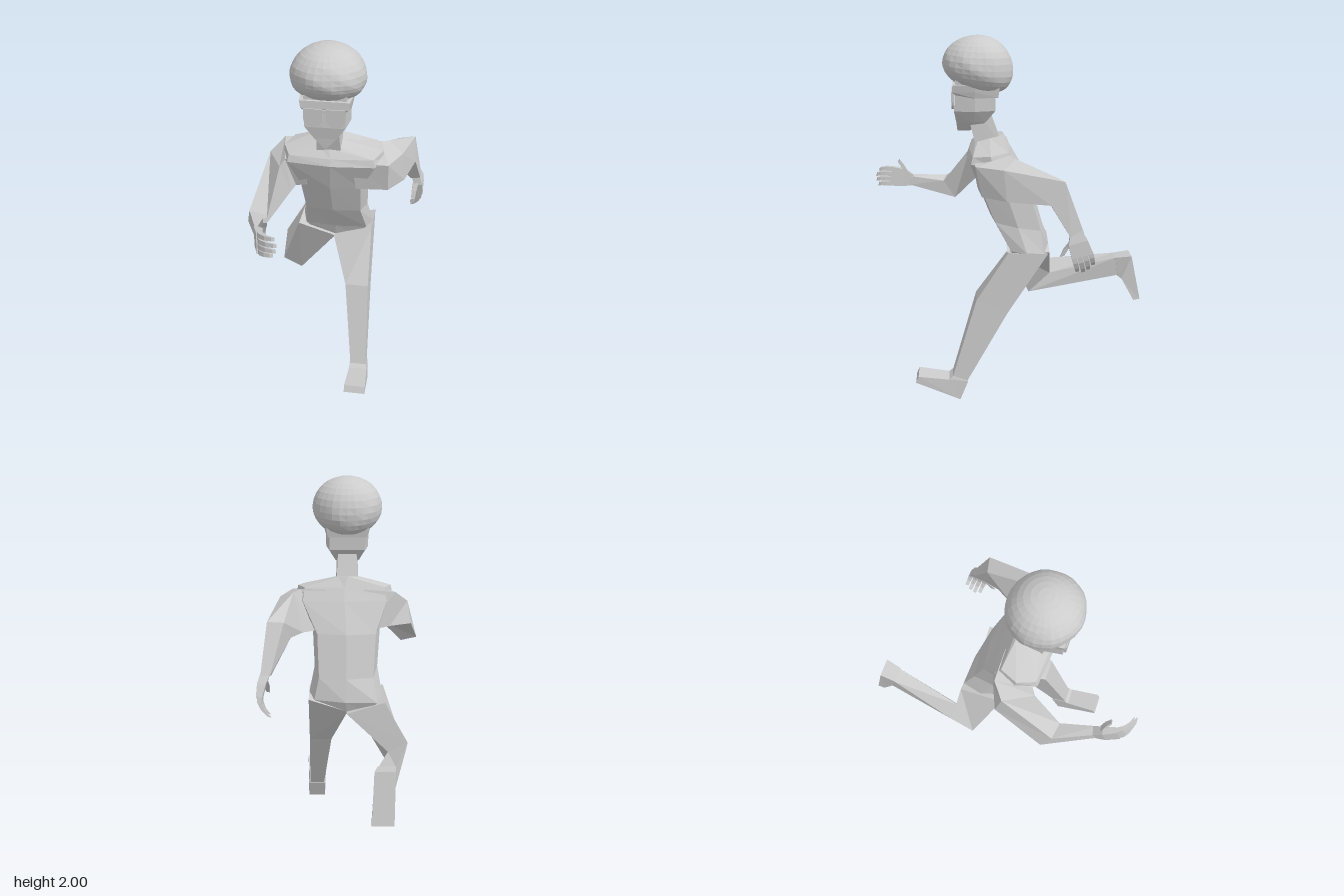
import * as THREE from 'three';

const CX = -0.04; // centre line of head and neck
const material = () => new THREE.MeshStandardMaterial({ color: 0xcccccc, flatShading: true, side: THREE.DoubleSide });

// Skin a list of equal-length rings of [x, y, z] points, capped at both ends
function loft(name, rings) {
  const n = rings[0].length, pts = rings.flat(), idx = [];
  for (let r = 0; r < rings.length - 1; r++) {
    for (let i = 0; i < n; i++) {
      const a = r * n + i, b = r * n + (i + 1) % n;
      idx.push(a, b, b + n, a, b + n, a + n);
    }
  }
  const last = (rings.length - 1) * n;
  for (let i = 1; i < n - 1; i++) idx.push(0, i + 1, i, last, last + i, last + i + 1);
  // turn the faces outward if the enclosed volume is negative
  const v = idx.map(i => new THREE.Vector3(...pts[i]));
  let volume = 0;
  for (let i = 0; i < v.length; i += 3) volume += v[i].dot(v[i + 1].clone().cross(v[i + 2]));
  if (volume < 0) idx.reverse();
  const g = new THREE.BufferGeometry();
  g.setAttribute('position', new THREE.Float32BufferAttribute(pts.flat(), 3));
  g.setIndex(idx);
  g.computeVertexNormals();
  const mesh = new THREE.Mesh(g, material());
  mesh.name = name;
  return mesh;
}

// Torso ring: eight points between a front and a back line; twist pulls the right hip back
function torsoRing([xl, xr, yF, zF, yB, zB, twist = 0]) {
  const c = (xl + xr) / 2, h = (xr - xl) / 2;
  return [[-0.85, 0.08], [0, 0], [0.85, 0.08], [1, 0.5], [0.85, 0.93], [0, 1], [-0.85, 0.93], [-1, 0.5]]
    .map(([u, t]) => [c + u * h, yF + (yB - yF) * t, zF + (zB - zF) * t + twist * u * t]);
}

// Four-cornered leg ring; rise lifts the outer side
const legRing = ([xo, xi, yF, zF, yB, zB, rise = 0]) =>
  [[xo, yF + rise, zF], [xi, yF, zF], [xi, yB, zB], [xo, yB + rise, zB]];

// Hand in a frame of wrist, finger direction, thumb direction; side sets the palm direction
function hand(name, wrist, fingerDir, thumbDir, side) {
  const group = new THREE.Group();
  group.name = name;
  const f = new THREE.Vector3(...fingerDir).normalize();
  const t = new THREE.Vector3(...thumbDir);
  t.addScaledVector(f, -t.dot(f)).normalize();
  const n = t.clone().cross(f).multiplyScalar(side);
  const at = (u, v, w) => new THREE.Vector3(...wrist).addScaledVector(t, u).addScaledVector(f, v).addScaledVector(n, w).toArray();
  const ring = (u, v, w, hu, hw) => [at(u - hu, v, w - hw), at(u + hu, v, w - hw), at(u + hu, v, w + hw), at(u - hu, v, w + hw)];
  group.add(loft('palm', [
    ring(0, -0.01, 0, 0.03, 0.024), ring(0.005, 0.045, -0.006, 0.05, 0.022), ring(0, 0.12, 0, 0.056, 0.015),
  ]));
  for (let i = 0; i < 4; i++) {
    const u = 0.043 - i * 0.029, len = [0.048, 0.054, 0.05, 0.04][i];
    let v = 0.11, w = 0;
    const rings = [ring(u, v, w, 0.0125, 0.013)];
    [0.3, 0.65, 1.0].forEach((a, k) => {
      v += len * 0.8 * Math.cos(a);
      w += len * 0.8 * Math.sin(a);
      rings.push(ring(u, v, w, 0.0125 - k * 0.0015, 0.012 - k * 0.002));
    });
    group.add(loft('finger', rings));
  }
  group.add(loft('thumb', [
    ring(0.03, 0.03, 0.005, 0.016, 0.016), ring(0.068, 0.06, 0.02, 0.015, 0.014), ring(0.1, 0.095, 0.03, 0.011, 0.01),
  ]));
  return group;
}

// Head ring: [y, front half-width, front z, middle half-width, middle z, back half-width, back z]
const headRing = ([y, a, zf, b, zm, c, zb]) => [
  [CX - a, y, zf], [CX + a, y, zf], [CX + b, y, zm], [CX + c, y, zb], [CX - c, y, zb], [CX - b, y, zm]];

function hair() {
  const g = new THREE.SphereGeometry(1, 28, 16);
  const p = g.attributes.position;
  for (let i = 0; i < p.count; i++) {
    const x = p.getX(i), y = p.getY(i), z = p.getZ(i);
    const bump = 1 + 0.018 * Math.sin(7 * x + 3 * y) * Math.sin(6 * z - 4 * y) * (1 - y * y);
    // full, cap-like lower half that hangs lower at the back
    const flare = y < 0 ? 1 + 0.12 * y * y : 1;
    const low = y < 0 ? -Math.min(1, -y * 1.15) * (0.115 - 0.025 * z) + 0.018 * z : y * 0.16 + 0.018 * z * (1 - y);
    p.setXYZ(i, CX + x * 0.188 * bump * flare, 1.84 + low, 0.172 + z * 0.186 * bump * flare);
  }
  g.computeVertexNormals();
  const mesh = new THREE.Mesh(g, material());
  mesh.name = 'hair';
  return mesh;
}

function glasses() {
  const group = new THREE.Group();
  group.name = 'glasses';
  for (const s of [-1, 1]) {
    const shape = new THREE.Shape();
    shape.moveTo(-0.046, 0.05);
    shape.lineTo(0.046, 0.05);
    shape.lineTo(0.046, -0.005);
    shape.bezierCurveTo(0.04, -0.06, -0.04, -0.06, -0.046, -0.005);
    const lens = new THREE.Mesh(new THREE.ExtrudeGeometry(shape, { depth: 0.012, bevelEnabled: false, curveSegments: 10 }), material());
    lens.position.set(CX + s * 0.056, 1.672, 0.301);
    lens.name = 'lens';
    group.add(lens);
  }
  const bridge = new THREE.Mesh(new THREE.BoxGeometry(0.03, 0.012, 0.012), material());
  bridge.position.set(CX, 1.712, 0.307);
  bridge.name = 'bridge';
  group.add(bridge);
  return group;
}

export function createModel() {
  const model = new THREE.Group();
  model.name = 'runner';

  // Torso leaning forward, from neck base to crotch
  model.add(loft('torso', [
    [-0.10, 0.02, 1.45, 0.19, 1.485, 0.04],
    [-0.28, 0.23, 1.405, 0.225, 1.43, 0.01],
    [-0.29, 0.24, 1.37, 0.24, 1.36, -0.03],
    [-0.22, 0.15, 1.21, 0.185, 1.2, -0.11],
    [-0.205, 0.14, 1.03, 0.115, 0.97, -0.175],
    [-0.23, 0.17, 0.87, 0.025, 0.85, -0.21, 0.03],
    [-0.16, 0.09, 0.8, 0.0, 0.79, -0.19, 0.02],
  ].map(torsoRing)));

  // Left leg planted forward, with its foot
  model.add(loft('leftLeg', [
    [0.17, -0.04, 0.8, 0.025, 0.79, -0.19, 0.07],
    [0.175, 0.05, 0.6, 0.2, 0.52, 0.03],
    [0.185, 0.1, 0.14, 0.34, 0.11, 0.26],
  ].map(legRing)));
  model.add(loft('leftFoot', [
    [0.19, 0.095, 0.145, 0.34, 0.11, 0.255],
    [0.195, 0.095, 0.128, 0.36, 0.0, 0.3],
    [0.205, 0.09, 0.157, 0.53, 0.12, 0.545],
  ].map(legRing)));

  // Right leg kicked back, with its foot
  model.add(loft('rightLeg', [
    [-0.24, -0.035, 0.8, 0.02, 0.79, -0.22, 0.065],
    [-0.367, -0.26, 0.455, -0.12, 0.575, -0.245, 0.055],
    [-0.275, -0.19, 0.58, -0.65, 0.69, -0.635],
  ].map(legRing)));
  model.add(loft('rightFoot', [
    [-0.275, -0.185, 0.575, -0.645, 0.69, -0.63],
    [-0.27, -0.165, 0.565, -0.665, 0.705, -0.72],
    [-0.265, -0.153, 0.43, -0.74, 0.437, -0.778],
  ].map(legRing)));

  // Left arm swung back
  model.add(loft('leftArm', [
    [[0.08, 1.42, 0.01], [0.08, 1.385, 0.215], [0.1, 1.22, 0.185], [0.08, 1.2, -0.05]],
    [[0.21, 1.42, 0.02], [0.265, 1.375, 0.195], [0.265, 1.215, 0.165], [0.14, 1.2, -0.03]],
    [[0.25, 1.41, -0.01], [0.325, 1.37, 0.055], [0.34, 1.21, 0.04], [0.2, 1.2, -0.06]],
    [[0.29, 1.31, -0.235], [0.375, 1.32, -0.25], [0.385, 1.2, -0.18], [0.26, 1.205, -0.165]],
    [[0.36, 1.06, -0.34], [0.41, 1.06, -0.345], [0.415, 1.035, -0.28], [0.36, 1.035, -0.275]],
  ]));
  model.add(hand('leftHand', [0.388, 1.05, -0.31], [0.25, -0.95, -0.25], [0, -0.25, 1], -1));

  // Right arm bent forward
  model.add(loft('rightArm', [
    [[-0.13, 1.42, 0.01], [-0.13, 1.385, 0.215], [-0.16, 1.22, 0.18], [-0.13, 1.2, -0.05]],
    [[-0.3, 1.405, 0.01], [-0.265, 1.375, 0.2], [-0.22, 1.2, 0.16], [-0.27, 1.22, -0.01]],
    [[-0.37, 1.34, 0.07], [-0.29, 1.34, 0.22], [-0.24, 1.18, 0.19], [-0.39, 1.22, 0.04]],
    [[-0.425, 1.15, 0.36], [-0.33, 1.14, 0.375], [-0.36, 1.03, 0.31], [-0.45, 1.05, 0.31]],
    [[-0.345, 1.18, 0.56], [-0.295, 1.18, 0.56], [-0.295, 1.13, 0.57], [-0.345, 1.13, 0.57]],
  ]));
  model.add(hand('rightHand', [-0.32, 1.155, 0.565], [0.2, 0.25, 0.95], [0, 1, 0], 1));

  // Neck, head with pointed chin, and band under the hair
  model.add(loft('neck', [
    [1.6, 0.055, 0.23, 0.055, 0.17, 0.05, 0.11],
    [1.43, 0.062, 0.19, 0.062, 0.12, 0.06, 0.05],
  ].map(headRing)));
  model.add(loft('head', [
    [1.78, 0.105, 0.29, 0.118, 0.19, 0.1, 0.08],
    [1.62, 0.1, 0.3, 0.115, 0.19, 0.095, 0.085],
    [1.555, 0.055, 0.29, 0.075, 0.2, 0.065, 0.135],
    [1.5, 0.006, 0.285, 0.012, 0.25, 0.006, 0.22],
  ].map(headRing)));
  model.add(loft('headband', [
    [1.76, 0.122, 0.305, 0.132, 0.19, 0.115, 0.06],
    [1.722, 0.115, 0.308, 0.126, 0.19, 0.11, 0.065],
    [1.69, 0.09, 0.28, 0.118, 0.19, 0.105, 0.07],
  ].map(headRing)));
  model.add(glasses());
  model.add(hair());
  return model;
}
